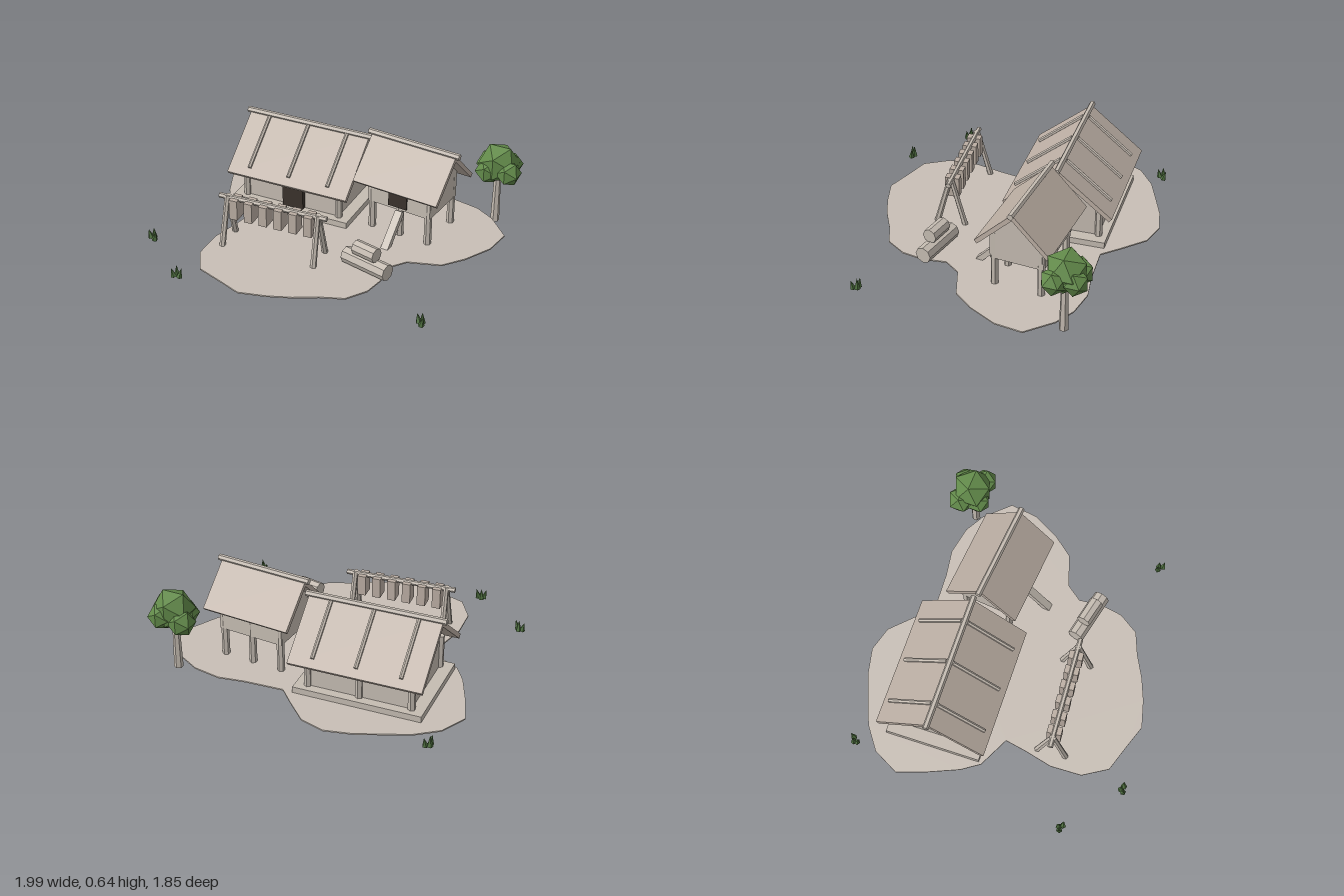
import * as THREE from 'three';

const mat = (name, color) => Object.assign(new THREE.MeshStandardMaterial({ color }), { name });

export function createModel() {
  const M = {
    earth: mat('pale earth', 0xc8bfb6), thatch: mat('thatch', 0xbcafa4), wood: mat('weathered wood', 0xc5bcb2),
    wall: mat('wall planks', 0xc6bdb3), dark: mat('dark opening', 0x3b332d),
    leaf: mat('leaf green', 0x628a4a), grass: mat('grass green', 0x4f7040),
  };
  const root = new THREE.Group();
  root.name = 'stiltHouseVillage';

  // Faceted mesh
  const add = (parent, name, geo, material, x = 0, y = 0, z = 0) => {
    const g = geo.index ? geo.toNonIndexed() : geo;
    g.computeVertexNormals();
    const m = new THREE.Mesh(g, material);
    m.name = name;
    m.position.set(x, y, z);
    parent.add(m);
    return m;
  };
  const box = (parent, name, w, h, d, material, x, y, z) =>
    add(parent, name, new THREE.BoxGeometry(w, h, d), material, x, y, z);
  // Round pole from a to b
  const pole = (parent, name, a, b, r0, r1 = r0, sides = 6, material = M.wood) => {
    const A = new THREE.Vector3(...a), B = new THREE.Vector3(...b), dir = B.clone().sub(A);
    const m = add(parent, name, new THREE.CylinderGeometry(r1, r0, dir.length(), sides), material);
    m.position.copy(A).add(B).multiplyScalar(0.5);
    m.quaternion.setFromUnitVectors(new THREE.Vector3(0, 1, 0), dir.normalize());
    return m;
  };
  // Profile in (z, y), extruded along x and centred
  const prism = (points, length) => {
    const s = new THREE.Shape(points.map(([z, y]) => new THREE.Vector2(z, y)));
    const g = new THREE.ExtrudeGeometry(s, { depth: length, bevelEnabled: false });
    return g.translate(0, 0, -length / 2).rotateY(Math.PI / 2);
  };
  const group = (name, x, z, turn) => {
    const g = new THREE.Group();
    g.name = name;
    g.position.set(x, 0, z);
    g.rotation.y = turn;
    root.add(g);
    return g;
  };

  // Ground patch
  const outline = [-.3, -.93, -.14, -.89, 0, -.76, .1, -.66, .35, -.68, .52, -.71, .7, -.68, .83, -.61, .98, -.46,
    .96, -.28, .87, -.1, .77, .03, .57, .1, .5, .2, .52, .35, .5, .49, .42, .62, .28, .68, .14, .76, 0, .82,
    -.17, .87, -.33, .82, -.5, .77, -.6, .62, -.615, .42, -.58, .24, -.56, .1, -.76, .01, -.84, -.1, -.93, -.29,
    -1, -.47, -.92, -.64, -.78, -.75, -.6, -.83, -.46, -.89];
  const pts = [];
  for (let i = 0; i < outline.length; i += 2) pts.push(new THREE.Vector2(outline[i], -outline[i + 1]));
  add(root, 'ground', new THREE.ExtrudeGeometry(new THREE.Shape(pts), { depth: 0.009, bevelEnabled: false })
    .rotateX(-Math.PI / 2), M.earth, 0, 0.036, 0);

  // House with posts, gabled walls, thatched roof and ridge pole
  const house = (o) => {
    const g = group(o.name, o.x, o.z, o.turn);
    const slope = (o.top - o.eave) / o.half, drop = o.thick * Math.hypot(1, slope);
    const len = Math.hypot(1, slope), nz = o.thick * slope / len, ny = o.thick / len;
    add(g, 'roof', prism([[0, o.top], [-o.half, o.eave], [-o.half + nz, o.eave - ny], [0, o.top - drop],
      [o.half - nz, o.eave - ny], [o.half, o.eave]], o.roofLen), M.thatch);
    const under = (z) => o.top - drop - z * slope - 0.002, w = o.wallHalf;
    add(g, 'walls', prism([[-w, o.floor], [w, o.floor], [w, under(w)], [0, under(0)], [-w, under(w)]], o.wallLen), M.wall);
    pole(g, 'ridgePole', [-o.ridgeLen / 2, o.top, 0], [o.ridgeLen / 2, o.top, 0], 0.02);
    for (const x of [-1, 0, 1]) for (const z of [-1, 1])
      pole(g, 'post', [x * o.postX, 0.01, z * o.postZ], [x * o.postX, under(o.postZ + 0.02), z * o.postZ], 0.024);
    return { g, roofY: (z) => o.top - z * slope };
  };

  // Long house on a low platform
  const long = house({ name: 'longHouse', x: -.358, z: -.337, turn: .05, top: .563, eave: .278, half: .35, thick: .03,
    roofLen: .845, ridgeLen: .89, floor: .08, wallLen: .66, wallHalf: .25, postX: .33, postZ: .25 });
  box(long.g, 'platform', .82, .055, .615, M.wood, 0, .0575, 0);
  box(long.g, 'door', .145, .15, .03, M.dark, .015, .16, .265);
  for (const x of [-.28, 0, .275]) for (const s of [-1, 1])
    pole(long.g, 'roofBatten', [x, long.roofY(.02) + .01, s * .02], [x, long.roofY(.31) + .01, s * .31], 0.013);

  // Raised store house with a sloping plank
  const store = house({ name: 'storeHouse', x: .4, z: -.31, turn: -.063, top: .625, eave: .388, half: .24, thick: .028,
    roofLen: .59, ridgeLen: .64, floor: .235, wallLen: .44, wallHalf: .172, postX: .2, postZ: .15 });
  box(store.g, 'window', .13, .11, .012, M.dark, -.005, .31, .176);
  const plank = box(store.g, 'entryPlank', .05, .035, .28, M.wood, .005, .118, .262);
  plank.rotation.x = .82;

  // Drying rack with hanging bundles
  const rack = group('dryingRack', -.222, .364, .096);
  pole(rack, 'rackBeam', [-.362, .348, 0], [.362, .348, 0], 0.017);
  for (const x of [-.31, .31]) for (const s of [-1, 1])
    pole(rack, 'rackLeg', [x, .008, s * .1], [x * .98, .36, s * .005], 0.02, 0.017);
  for (let i = 0; i < 6; i++)
    box(rack, 'hangingBundle', .054, .135, .09, M.thatch, -.25 + i * .1, .286, 0);

  // Stacked logs
  const logs = group('logPile', .395, .3, -.2);
  pole(logs, 'lowerLog', [-.162, .097, 0], [.162, .097, 0], 0.053, 0.053, 8);
  pole(logs, 'upperLog', [-.08, .187, .005], [.08, .187, .005], 0.047, 0.047, 8);

  // Tree
  const tree = group('tree', .83, -.66, 0);
  pole(tree, 'trunk', [0, .01, 0], [0, .36, 0], 0.029, 0.021, 6);
  for (const [x, y, z, r] of [[0, .43, -.01, .135], [.085, .4, .04, .085], [-.08, .38, -.06, .09],
    [.05, .4, -.075, .085], [-.05, .385, .045, .085]])
    add(tree, 'foliage', new THREE.IcosahedronGeometry(r, 0), M.leaf, x, y, z);

  // Grass tufts
  for (const [x, z, turn] of [[-.9, -.79, 1.3], [-.955, .613, 0], [-.59, .89, .5], [.91, .613, -.4]]) {
    const tuft = group('grassTuft', x, z, turn);
    for (const [dx, dz, h, lean] of [[-.024, 0, .06, .25], [.002, -.01, .075, 0], [.024, .012, .065, -.25]]) {
      const blade = add(tuft, 'blade', new THREE.ConeGeometry(.02, h, 5), M.grass, dx, .032 + h / 2, dz);
      blade.rotation.z = lean;
    }
  }
  return root;
}
